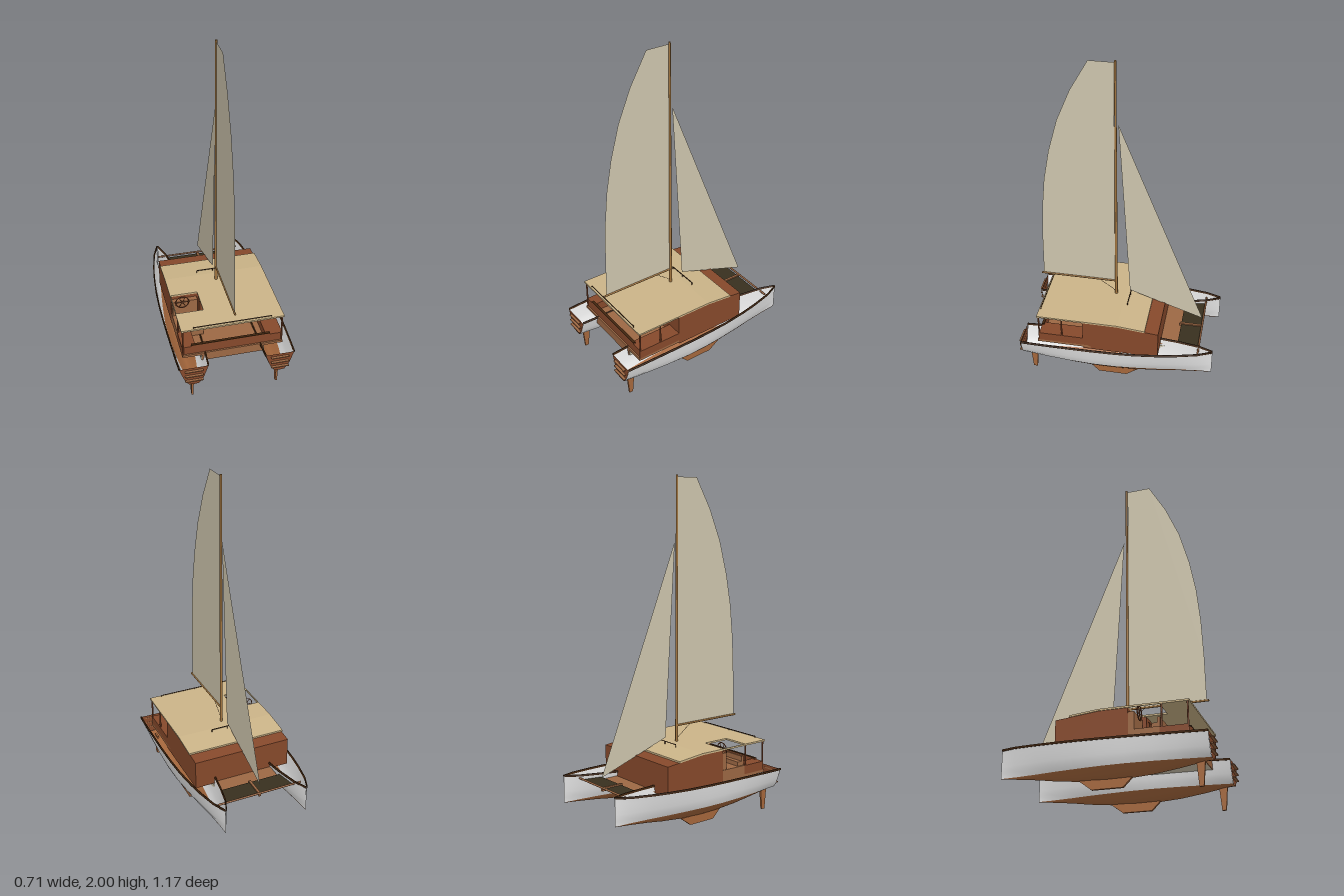
import * as THREE from 'three';

const mat = (name, color) => {
  const m = new THREE.MeshStandardMaterial({ color, side: THREE.DoubleSide });
  m.name = name;
  return m;
};

export function createModel() {
  const white = mat('hullWhite', 0xe6e6e6);
  const bottomPaint = mat('bottomPaint', 0xa5673c);
  const trim = mat('darkTrim', 0x42260f);
  const cabinWood = mat('cabinWood', 0x86492b);
  const deckWood = mat('deckWood', 0x9c6844);
  const tan = mat('roofTan', 0xcbb488);
  const spar = mat('sparWood', 0xa0743f);
  const cream = mat('sailCream', 0xcfc6ae);
  const netDark = mat('netting', 0x38301f);

  const model = new THREE.Group();
  model.name = 'catamaran';
  const add = (name, geo, m, parent = model) => {
    const mesh = new THREE.Mesh(geo, m);
    mesh.name = name;
    parent.add(mesh);
    return mesh;
  };
  // box given by its limits
  const box = (name, m, x0, x1, y0, y1, z0, z1, parent) => {
    const g = new THREE.BoxGeometry(x1 - x0, y1 - y0, z1 - z0);
    g.translate((x0 + x1) / 2, (y0 + y1) / 2, (z0 + z1) / 2);
    return add(name, g, m, parent);
  };
  // round bar between two points
  const bar = (name, m, a, b, r0, r1 = r0) => {
    const p = new THREE.Vector3(...a), q = new THREE.Vector3(...b);
    const mesh = add(name, new THREE.CylinderGeometry(r1, r0, p.distanceTo(q), 10), m);
    mesh.position.copy(p).add(q).multiplyScalar(0.5);
    mesh.quaternion.setFromUnitVectors(new THREE.Vector3(0, 1, 0), q.sub(p).normalize());
    return mesh;
  };
  // [z, y] side profile extruded from x0 to x1
  const profile = (name, m, pts, x0, x1, parent) => {
    const s = new THREE.Shape(pts.map(([z, y]) => new THREE.Vector2(-z, y)));
    const g = new THREE.ExtrudeGeometry(s, { depth: x1 - x0, bevelEnabled: false });
    g.rotateY(Math.PI / 2).translate(x0, 0, 0);
    return add(name, g, m, parent);
  };
  // surface through equal-length cross-sections
  const loft = (sections) => {
    const n = sections[0].length, idx = [];
    for (let i = 0; i < sections.length - 1; i++)
      for (let j = 0; j < n - 1; j++) {
        const a = i * n + j, b = a + n;
        idx.push(a, b, a + 1, b, b + 1, a + 1);
      }
    const g = new THREE.BufferGeometry();
    g.setAttribute('position', new THREE.Float32BufferAttribute(sections.flat(2), 3));
    g.setIndex(idx);
    g.computeVertexNormals();
    return g;
  };

  // hull stations: z, half-width at sheer, half-width at waterline, keel height
  const stations = [
    [-0.588, 0.002, 0.001, 0.134], [-0.5, 0.037, 0.006, 0.125], [-0.37, 0.063, 0.021, 0.11],
    [-0.27, 0.077, 0.036, 0.095], [-0.13, 0.09, 0.052, 0.08], [0, 0.095, 0.063, 0.073],
    [0.13, 0.096, 0.066, 0.075], [0.27, 0.094, 0.06, 0.085], [0.4, 0.091, 0.049, 0.103],
    [0.5, 0.088, 0.038, 0.12], [0.57, 0.085, 0.03, 0.133],
  ];
  const WL = 0.136;
  const sheer = (z) => 0.27 - 0.022 * z + (z < 0 ? 0.03 * z * z : 0);
  const steps = [0, 0.2, 0.4, 0.6, 0.8, 1];
  const topSide = ([z, w, wl], s) => steps.map((t) =>
    [s * (wl + (w - wl) * Math.pow(t, 0.65)), WL + (sheer(z) - WL) * t, z]);
  const lower = ([z, , wl, k], s) => steps.map((t) =>
    [s * wl * Math.pow(t, 0.75), k + (WL - k) * t, z]);

  for (const side of [-1, 1]) {
    const hull = new THREE.Group();
    hull.name = side > 0 ? 'leftHull' : 'rightHull';
    hull.position.x = side * 0.255;
    model.add(hull);
    for (const s of [-1, 1]) {
      add('topsides', loft(stations.map((p) => topSide(p, s))), white, hull);
      add('gunwale', loft(stations.map(([z, w]) => {
        const y = sheer(z), o = s * (w + 0.004), i = s * Math.max(w - 0.004, 0);
        return [[i, y - 0.005, z], [o, y - 0.005, z], [o, y + 0.006, z], [i, y + 0.006, z], [i, y - 0.005, z]];
      })), trim, hull);
    }
    // bottom runs from one waterline over the keel to the other
    add('hullBottom', loft(stations.map((p) =>
      [...lower(p, -1).reverse(), ...lower(p, 1).slice(1)])), bottomPaint, hull);

    // transom with boarding slats
    const last = stations[stations.length - 1];
    const half = [...lower(last, 1), ...topSide(last, 1).slice(1)];
    const outline = [...half, ...half.slice(1).reverse().map(([x, y]) => [-x, y])];
    const transom = add('transom', new THREE.ShapeGeometry(
      new THREE.Shape(outline.map(([x, y]) => new THREE.Vector2(x, y)))), cabinWood, hull);
    transom.position.z = 0.571;
    for (const y of [0.165, 0.2, 0.235])
      box('boardingSlat', deckWood, -0.053, 0.053, y, y + 0.006, 0.57, 0.586, hull);

    profile('keelFin', bottomPaint, [[0.15, 0.08], [0.1, 0.03], [-0.07, 0.03], [-0.14, 0.082]], -0.008, 0.008, hull);
    profile('rudder', bottomPaint, [[0.485, 0.135], [0.497, 0], [0.52, 0], [0.532, 0.135]], -0.006, 0.006, hull);
  }

  // bridge deck between the hulls
  box('bridgeDeck', deckWood, -0.185, 0.185, 0.235, 0.25, -0.37, 0.47);
  profile('bridgeUnderside', cream, [[0.465, 0.235], [0.465, 0.21], [-0.3, 0.21], [-0.37, 0.236]], -0.19, 0.19);
  box('deckEnd', deckWood, -0.185, 0.185, 0.21, 0.235, 0.465, 0.47);
  box('cockpitFloor', deckWood, -0.3, 0.3, 0.25, 0.265, 0.14, 0.47);

  // cabin, cut back on one side for the helm
  profile('cabin', cabinWood, [[0.14, 0.24], [0.14, 0.44], [-0.02, 0.44], [-0.265, 0.415], [-0.265, 0.24]], -0.3, 0.3);
  box('cabinRear', cabinWood, -0.135, 0.3, 0.24, 0.44, 0.14, 0.19);
  box('doorFrame', trim, -0.09, 0.09, 0.265, 0.425, 0.188, 0.192);
  box('door', cabinWood, -0.085, 0.085, 0.265, 0.42, 0.19, 0.195);

  // roof with an opening above the helm
  const rect = (S, x0, x1, z0, z1) => {
    const s = new S();
    s.moveTo(x0, z0); s.lineTo(x1, z0); s.lineTo(x1, z1); s.lineTo(x0, z1); s.closePath();
    return s;
  };
  const roof = rect(THREE.Shape, -0.305, 0.305, -0.02, 0.47);
  roof.holes.push(rect(THREE.Path, -0.3, -0.14, 0.14, 0.31));
  add('roof', new THREE.ExtrudeGeometry(roof, { depth: 0.01, bevelEnabled: false })
    .rotateX(Math.PI / 2).translate(0, 0.45, 0), tan);
  profile('roofSlope', tan, [[-0.02, 0.45], [-0.02, 0.44], [-0.185, 0.423], [-0.185, 0.433]], -0.305, 0.305);
  for (const [half, z, y] of [[0.1, -0.048, 0.463], [0.23, 0.46, 0.457]]) {
    bar('roofRail', trim, [-half, y, z], [half, y, z], 0.0025);
    for (const x of [-half, 0, half]) bar('railFoot', trim, [x, y - 0.016, z], [x, y, z], 0.0025);
  }
  for (const x of [-0.295, 0.295])
    for (const z of [0.32, 0.46]) bar('roofPost', cabinWood, [x, 0.26, z], [x, 0.442, z], 0.005);

  // cockpit benches and coaming
  box('sideBench', cabinWood, 0.2, 0.3, 0.265, 0.318, 0.19, 0.46);
  box('sideBench', cabinWood, -0.3, -0.22, 0.265, 0.318, 0.31, 0.46);
  box('rearCoaming', cabinWood, -0.245, 0.225, 0.265, 0.325, 0.447, 0.46);
  box('coamingCap', trim, -0.245, 0.225, 0.323, 0.328, 0.446, 0.461);

  // helm station
  box('helmPlatform', deckWood, -0.3, -0.14, 0.265, 0.32, 0.14, 0.31);
  box('helmConsole', deckWood, -0.295, -0.145, 0.32, 0.42, 0.14, 0.172);
  box('helmSeat', deckWood, -0.29, -0.15, 0.32, 0.345, 0.265, 0.31);
  box('helmSeatBack', deckWood, -0.29, -0.15, 0.345, 0.375, 0.295, 0.31);
  add('wheel', new THREE.TorusGeometry(0.04, 0.003, 6, 24).translate(-0.24, 0.425, 0.185), cabinWood);
  for (let i = 0; i < 3; i++) {
    const a = i * Math.PI / 3, c = 0.04 * Math.cos(a), s = 0.04 * Math.sin(a);
    bar('wheelSpoke', cabinWood, [-0.24 - c, 0.425 - s, 0.185], [-0.24 + c, 0.425 + s, 0.185], 0.002);
  }
  for (let i = 0; i < 3; i++)
    box('helmStep', trim, -0.14, -0.095, 0.28 + i * 0.02, 0.286 + i * 0.02, 0.25 - i * 0.025, 0.275 - i * 0.025);

  // bow beams and netting
  bar('crossBeam', deckWood, [-0.265, 0.272, -0.5], [0.265, 0.272, -0.5], 0.006);
  box('centreBeam', deckWood, -0.007, 0.007, 0.25, 0.27, -0.5, -0.36);
  for (const s of [-1, 1]) {
    const net = new THREE.Shape([[0.007, -0.493], [0.22, -0.493], [0.192, -0.37], [0.007, -0.37]]
      .map(([x, z]) => new THREE.Vector2(s * x, z)));
    add('bowNet', new THREE.ShapeGeometry(net).rotateX(Math.PI / 2).translate(0, 0.262, 0), netDark);
  }

  // mast, boom and rigging
  bar('mast', spar, [0, 0.44, 0.04], [0, 2, 0.04], 0.009, 0.006);
  bar('boom', spar, [0, 0.545, 0.04], [0, 0.545, 0.506], 0.006);
  bar('boomVang', trim, [0, 0.47, 0.045], [0, 0.54, 0.14], 0.0012);

  // sails as single sheets on the centreline
  const sail = (name, pts) => add(name, new THREE.ShapeGeometry(
    new THREE.Shape(pts.map(([z, y]) => new THREE.Vector2(-z, y)))).rotateY(Math.PI / 2), cream);
  sail('mainSail', [[0.047, 0.55], [0.047, 1.99], [0.187, 1.99], [0.29, 1.81], [0.37, 1.62], [0.425, 1.42],
    [0.46, 1.23], [0.48, 1.03], [0.49, 0.8], [0.494, 0.55]]);
  sail('jib', [[0.024, 1.625], [-0.045, 0.485], [-0.497, 0.328]]);

  return model;
}
